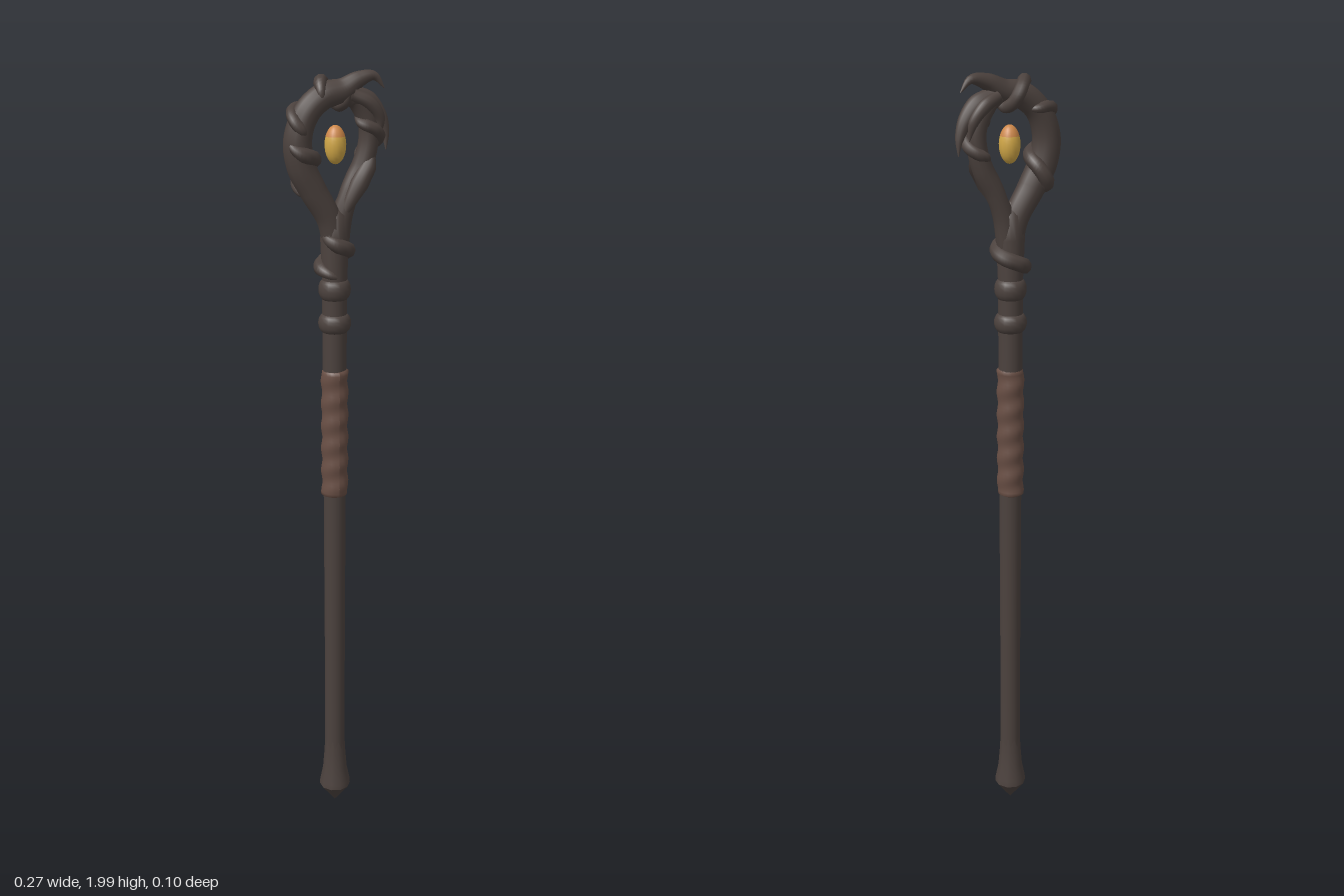
import * as THREE from 'three';

const V = (p) => new THREE.Vector3(p[0], p[1], p[2] || 0);
const material = (name, color) => {
  const m = new THREE.MeshStandardMaterial({ color });
  m.name = name;
  return m;
};

export function createModel() {
  const wood = material('dark wood', 0x4c423e);
  const leather = material('brown leather', 0x694f45);
  const gold = material('gold gem', 0xd2a848);
  const amber = material('amber gem', 0xcb8648);

  const group = new THREE.Group();
  const axis = -0.005;

  function add(name, geometry, mat) {
    const mesh = new THREE.Mesh(geometry, mat);
    mesh.name = name;
    group.add(mesh);
    return mesh;
  }

  function lathe(name, profile, mat, sides = 16) {
    const geo = new THREE.LatheGeometry(profile.map((p) => new THREE.Vector2(p[0], p[1])), sides);
    geo.translate(axis, 0, 0);
    return add(name, geo, mat);
  }

  // Tube whose radius follows a list spread evenly along the curve
  function branch(name, curve, radii, steps = 48, sides = 12) {
    const geo = new THREE.TubeGeometry(curve, steps, 1, sides, false);
    const pos = geo.attributes.position;
    const v = new THREE.Vector3();
    for (let i = 0; i <= steps; i++) {
      const c = curve.getPointAt(i / steps);
      const f = (i / steps) * (radii.length - 1);
      const k = Math.min(Math.floor(f), radii.length - 2);
      const r = THREE.MathUtils.lerp(radii[k], radii[k + 1], f - k);
      for (let j = 0; j <= sides; j++) {
        const n = i * (sides + 1) + j;
        v.fromBufferAttribute(pos, n).sub(c).multiplyScalar(r).add(c);
        pos.setXYZ(n, v.x, v.y, v.z);
      }
    }
    return add(name, geo, wood);
  }

  const path = (points) => new THREE.CatmullRomCurve3(points.map(V));

  // Root that coils around a curve, fading into it at both ends
  function coil(name, curve, t0, t1, turns, start, offset, r) {
    const points = [];
    const count = Math.ceil(turns * 10);
    const side = new THREE.Vector3(0, 0, 1);
    for (let i = 0; i <= count; i++) {
      const u = i / count;
      const t = THREE.MathUtils.lerp(t0, t1, u);
      const out = new THREE.Vector3().crossVectors(curve.getTangentAt(t), side).normalize();
      const a = start + u * turns * Math.PI * 2;
      const d = offset * (0.45 + 0.55 * Math.min(1, 4 * u, 4 * (1 - u)));
      points.push(curve.getPointAt(t).addScaledVector(out, Math.cos(a) * d).addScaledVector(side, Math.sin(a) * d));
    }
    branch(name, new THREE.CatmullRomCurve3(points), [0.002, r, r, r, 0.002], count * 4, 9);
  }

  // Shaft and pointed foot
  lathe('shaft', [[0.027, 0.14], [0.027, 0.5], [0.0285, 0.95], [0.03, 1.3], [0.031, 1.5], [0.035, 1.6], [0.03, 1.66], [0, 1.69]], wood);
  lathe('footFlare', [[0.042, 0.055], [0.041, 0.07], [0.033, 0.11], [0.029, 0.16], [0.027, 0.2]], wood, 10);
  lathe('footPoint', [[0, 0], [0.042, 0.055]], wood, 10);

  // Leather grip with a shallow spiral ripple
  const profile = [[0.027, 0.93]];
  for (let i = 0; i <= 44; i++) profile.push([0.033, 0.934 + (i / 44) * 0.332]);
  profile.push([0.028, 1.27]);
  const grip = lathe('grip', profile, leather, 20);
  const gp = grip.geometry.attributes.position;
  for (let i = 0; i < gp.count; i++) {
    const x = gp.getX(i) - axis, z = gp.getZ(i);
    const a = Math.atan2(z, x);
    const s = 1 + 0.055 * Math.sin(gp.getY(i) * 105 + a) + 0.02 * Math.sin(a * 2);
    gp.setX(i, axis + x * s);
    gp.setZ(i, z * s);
  }
  grip.geometry.computeVertexNormals();

  // Knots on the neck
  for (const [y, r, h] of [[1.39, 0.041, 0.024], [1.475, 0.04, 0.026]]) {
    const ring = [];
    for (let i = 0; i <= 8; i++) {
      const a = (i / 8) * Math.PI;
      ring.push([0.026 + (r - 0.026) * Math.sin(a), y - Math.cos(a) * h]);
    }
    lathe('neckKnot', ring, wood);
  }
  const neck = path([[axis, 1.4], [axis, 1.5], [axis, 1.6], [0, 1.66]]);
  coil('neckRoot', neck, 0.36, 0.86, 1.6, 0.6, 0.033, 0.019);

  // Large arm that sweeps up the right side and over the top into a claw
  const large = path([
    [-0.002, 1.58], [-0.02, 1.65], [-0.06, 1.72], [-0.09, 1.78], [-0.098, 1.84], [-0.077, 1.9],
    [-0.035, 1.937], [0.015, 1.95], [0.055, 1.972], [0.095, 1.979], [0.122, 1.95]]);
  branch('largeArm', large, [0.032, 0.031, 0.032, 0.034, 0.036, 0.035, 0.033, 0.032, 0.032, 0.025, 0.014, 0.001], 80);
  coil('largeArmLowerRoot', large, 0.24, 0.5, 1.2, 2.2, 0.034, 0.018);
  coil('largeArmUpperRoot', large, 0.49, 0.66, 0.9, 0.5, 0.031, 0.014);
  coil('topRoot', large, 0.66, 0.8, 1.1, 1, 0.034, 0.016);

  // Small arm on the left
  const small = path([
    [0, 1.58], [0.012, 1.65], [0.035, 1.71], [0.066, 1.77], [0.082, 1.83], [0.078, 1.88], [0.052, 1.925], [0.015, 1.945]]);
  branch('smallArm', small, [0.03, 0.028, 0.024, 0.028, 0.025, 0.024, 0.026, 0.02], 60);
  branch('smallArmRoot', path([[0.01, 1.65, 0.012], [0.032, 1.7, 0.02], [0.057, 1.745, 0.022], [0.08, 1.78, 0.014], [0.09, 1.81, 0]]),
    [0.006, 0.016, 0.023, 0.02, 0.004]);
  coil('smallArmCoil', small, 0.5, 0.85, 1.3, 2.6, 0.026, 0.014);

  // Hooked claws of the head
  branch('outerClaw', path([[0.04, 1.935], [0.08, 1.92], [0.11, 1.885], [0.125, 1.845], [0.128, 1.805]]),
    [0.026, 0.025, 0.019, 0.011, 0.001]);
  for (const s of [-1, 1]) {
    branch('sideClaw', path([[0.035, 1.94, s * 0.018], [0.072, 1.922, s * 0.03], [0.1, 1.885, s * 0.027], [0.106, 1.84, s * 0.014]]),
      [0.014, 0.016, 0.012, 0.001], 30, 9);
  }

  // Floating gem: gold lower body, amber crown
  const split = Math.PI * 0.36;
  for (const [name, mat, from, length] of [
    ['gemCrown', amber, 0, split], ['gemBody', gold, split, Math.PI - split]]) {
    const geo = new THREE.SphereGeometry(1, 14, 10, 0, Math.PI * 2, from, length);
    geo.scale(0.026, 0.046, 0.025);
    add(name, geo, mat).position.set(-0.004, 1.825, 0.003);
  }

  return group;
}
